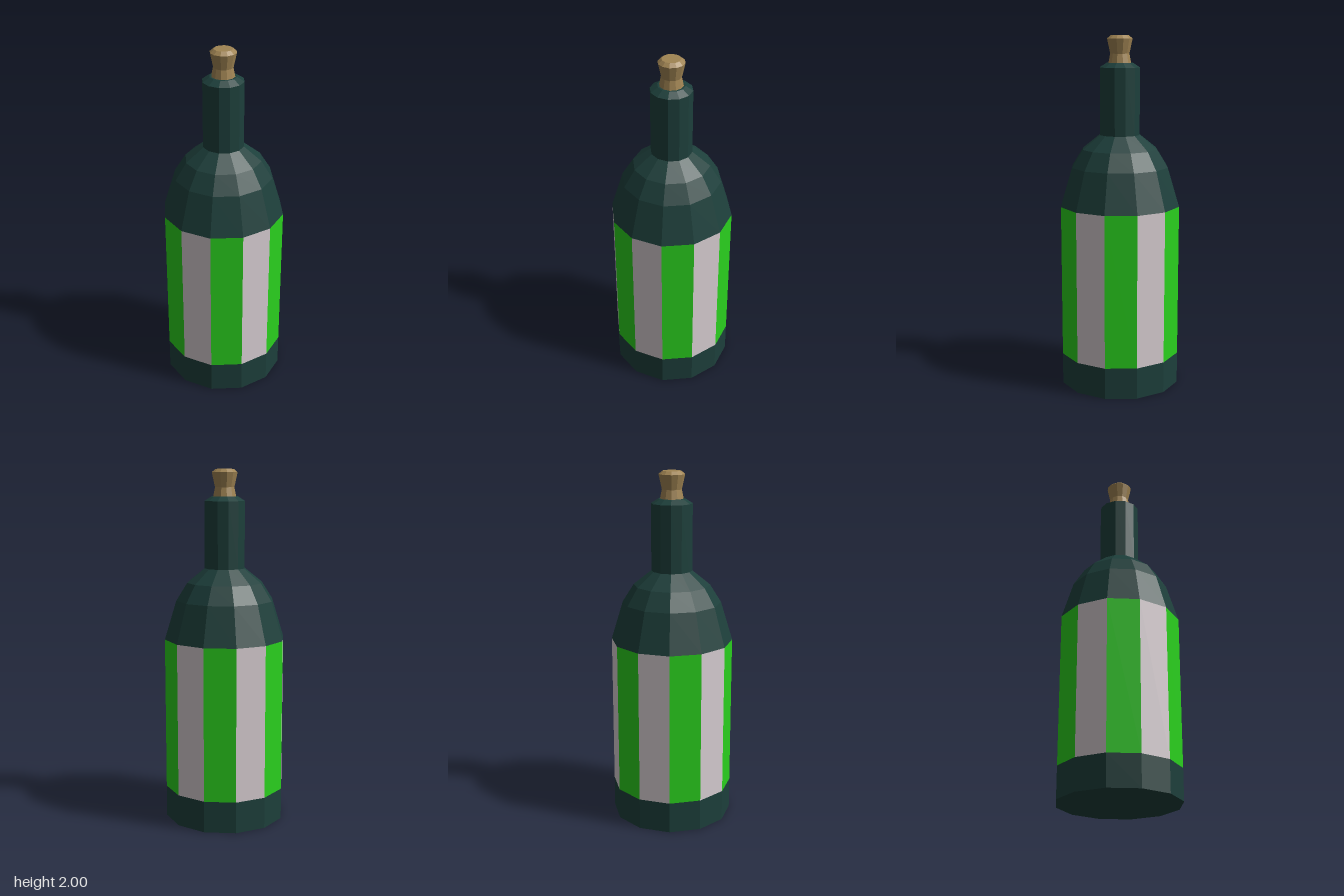
import * as THREE from 'three';

const SIDES = 12;

const paint = (color) => new THREE.MeshStandardMaterial({ color, flatShading: true });

// Revolve a bottom-to-top [radius, height] profile into a faceted mesh.
function turned(name, profile, material, segments = SIDES, start = 0, length = Math.PI * 2) {
  const points = profile.map(([r, y]) => new THREE.Vector2(r, y));
  const mesh = new THREE.Mesh(new THREE.LatheGeometry(points, segments, start, length), material);
  mesh.name = name;
  return mesh;
}

export function createModel() {
  const model = new THREE.Group();
  model.name = 'bottle';

  const glass = paint(0x1d3f3b);
  const green = paint(0x2ad01e);
  const pale = paint(0xd8ced2);
  const cork = paint(0xa08453);

  const radius = 0.345, labelBottom = 0.18, labelTop = 1.05;

  // Glass below and above the label
  model.add(turned('base', [[0, 0], [radius, 0], [radius, labelBottom]], glass));
  model.add(turned('shoulder', [
    [radius, labelTop], [0.278, 1.27], [0.215, 1.37], [0.115, 1.45],
  ], glass));
  model.add(turned('neck', [
    [0.115, 1.45], [0.115, 1.825], [0.075, 1.85], [0, 1.85],
  ], glass));

  // Striped label: one flat panel per side, alternating colours
  const label = new THREE.Group();
  label.name = 'label';
  const step = (Math.PI * 2) / SIDES;
  for (let i = 0; i < SIDES; i++) {
    label.add(turned(
      i % 2 ? 'paleStripe' : 'greenStripe',
      [[radius, labelBottom], [radius, labelTop]],
      i % 2 ? pale : green, 1, i * step, step,
    ));
  }
  model.add(label);

  // Stopper with a narrow waist and a bevelled top
  model.add(turned('cork', [
    [0.066, 1.845], [0.055, 1.9], [0.073, 1.982], [0.052, 2], [0, 2],
  ], cork));

  return model;
}
